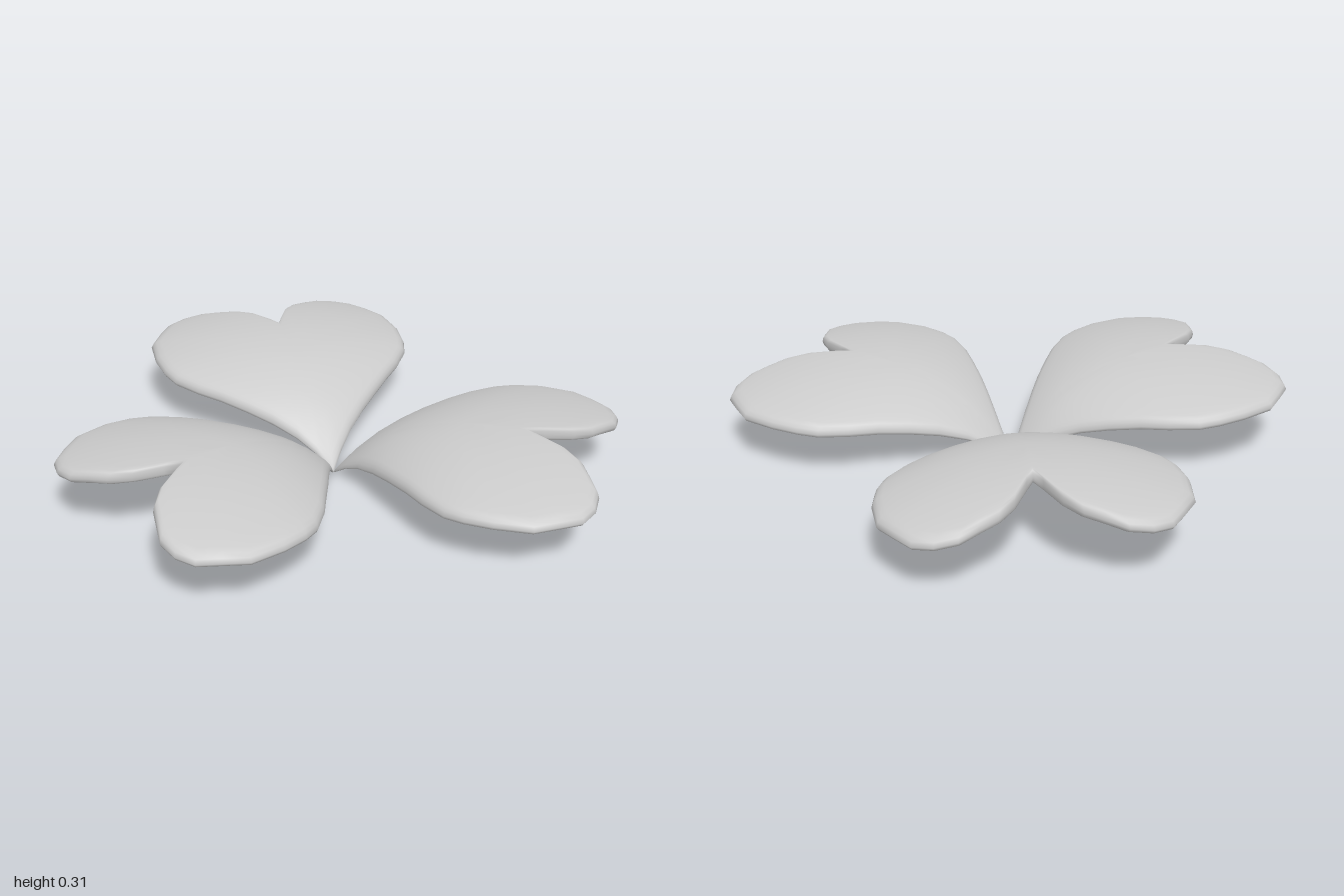
import * as THREE from 'three';
import { mergeVertices } from 'three/addons/utils/BufferGeometryUtils.js';

// Half outline of a heart leaf: [distance from stem, half width], stem tip to notch
const HALF = [
  [0, 0], [0.05, 0.047], [0.11, 0.104], [0.18, 0.176], [0.25, 0.25], [0.33, 0.33],
  [0.40, 0.40], [0.485, 0.464], [0.554, 0.488], [0.65, 0.5], [0.775, 0.488],
  [0.85, 0.44], [0.915, 0.392], [0.943, 0.327], [0.943, 0.253], [0.91, 0.19],
  [0.876, 0.127], [0.818, 0.074], [0.723, 0.026], [0.67, 0],
];
const OUTLINE = [...HALF, ...HALF.slice(1, -1).reverse().map(([r, w]) => [r, -w])];
const CENTRE = 0.45; // rings shrink toward this point on the midrib

// Height of the leaf's middle surface: steep at the stem, domed across
function bend(r, w) {
  const rib = 0.008 + 0.325 * (1 - Math.exp(-r / 0.25)) - 0.075 * r ** 4;
  return rib - w * w * (0.27 + 2.2 * Math.exp(-r / 0.15));
}

// Thin cushion with a rounded rim: rings run over the top and back underneath
function leafGeometry() {
  const scales = [0, 0.2, 0.4, 0.58, 0.72, 0.84, 0.93, 0.965, 0.988, 1];
  const rings = [
    ...scales.map((s) => [s, 1]),
    ...scales.slice(0, -1).reverse().map((s) => [s, -1]),
  ];
  const n = OUTLINE.length;
  const positions = [];
  const index = [];
  rings.forEach(([s, side], j) => {
    const rim = Math.max(0, s - 0.93) / 0.07;
    const half = 0.024 * Math.sqrt(Math.max(0, 1 - rim * rim));
    OUTLINE.forEach(([r0, w0], i) => {
      const r = CENTRE + (r0 - CENTRE) * s;
      const w = w0 * s;
      const taper = Math.min(1, 0.4 + r * 4);
      positions.push(r, bend(r, w) + side * half * taper, w);
      if (j === rings.length - 1) return;
      const k = (i + 1) % n;
      const a = j * n + i, b = (j + 1) * n + i, c = (j + 1) * n + k, d = j * n + k;
      if (j > 0) index.push(a, c, d);
      if (j < rings.length - 2) index.push(a, b, c);
      else index.push(a, b, d);
      if (j === 0) index.push(a, b, c);
    });
  });
  let geometry = new THREE.BufferGeometry();
  geometry.setAttribute('position', new THREE.Float32BufferAttribute(positions, 3));
  geometry.setIndex(index);
  geometry = mergeVertices(geometry, 1e-5);
  geometry.computeVertexNormals();
  return geometry;
}

export function createModel() {
  const model = new THREE.Group();
  model.name = 'threeLeafClover';
  const material = new THREE.MeshStandardMaterial({ color: 0xcccccc });
  const geometry = leafGeometry();

  // Three leaves meeting at the stem point, two of them drooping slightly
  const leaves = [
    { name: 'rightLeaf', degrees: 180, droop: 0, roll: 0, length: 1 },
    { name: 'backLeaf', degrees: -67, droop: 0.025, roll: 0.025, length: 1.015 },
    { name: 'frontLeaf', degrees: 58.2, droop: 0.032, roll: -0.02, length: 1.02 },
  ];
  for (const { name, degrees, droop, roll, length } of leaves) {
    const leaf = new THREE.Mesh(geometry, material);
    leaf.name = name;
    leaf.position.x = 0.055;
    leaf.rotation.set(roll, -THREE.MathUtils.degToRad(degrees), -droop, 'YXZ');
    leaf.scale.x = length;
    model.add(leaf);
  }
  return model;
}
